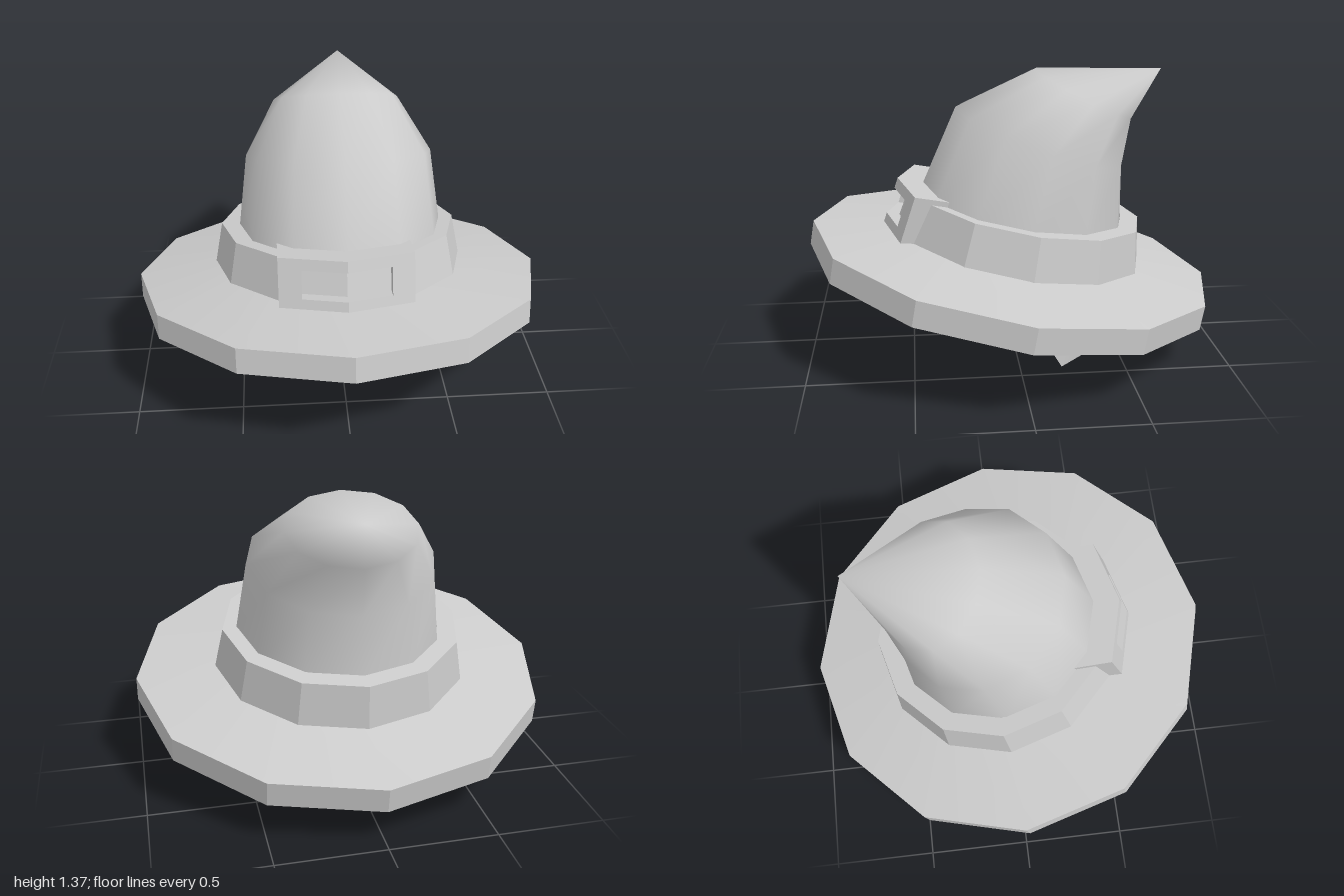
import * as THREE from 'three';
import { toCreasedNormals } from 'three/addons/utils/BufferGeometryUtils.js';

const SIDES = 12;
const grey = new THREE.MeshStandardMaterial({ color: 0xcccccc, side: THREE.DoubleSide });
grey.name = 'grey';

function part(name, geometry, parent) {
  const mesh = new THREE.Mesh(geometry, grey);
  mesh.name = name;
  parent.add(mesh);
  return mesh;
}

function lathe(profile) {
  const points = profile.map(([r, y]) => new THREE.Vector2(r, y));
  return toCreasedNormals(new THREE.LatheGeometry(points, SIDES), 0.4);
}

function indexed(positions, index) {
  const g = new THREE.BufferGeometry();
  g.setAttribute('position', new THREE.Float32BufferAttribute(positions, 3));
  g.setIndex(index);
  g.computeVertexNormals();
  return g;
}

// Crown: tilted oval rings, each given by its front and back point, closed in a bent tip
function crownGeometry() {
  const rings = [
    { front: [0.46, 0.76], back: [-0.55, 0.58], half: 0.505 },
    { front: [0.27, 1.19], back: [-0.55, 0.90], half: 0.455 },
    { front: [-0.11, 1.365], back: [-0.585, 1.13], half: 0.31 },
  ];
  const pos = [], index = [];
  rings.forEach(({ front, back, half }, k) => {
    for (let i = 0; i < SIDES; i++) {
      const a = (i / SIDES) * Math.PI * 2;
      const t = (1 - Math.cos(a)) / 2;
      pos.push(0.01 + half * Math.sin(a),
        THREE.MathUtils.lerp(front[1], back[1], t),
        THREE.MathUtils.lerp(front[0], back[0], t));
      const j = (i + 1) % SIDES, low = k * SIDES, up = low + SIDES;
      if (k < rings.length - 1) index.push(low + i, low + j, up + j, low + i, up + j, up + i);
      else index.push(low + i, low + j, up);
    }
  });
  pos.push(0.045, 1.365, -0.72);
  return indexed(pos, index);
}

// Thin hanging panel: columns of [angle from front, bottom y, bottom radius]
function panelGeometry(columns) {
  const pos = [], index = [];
  columns.forEach(([deg, bottom, radius], i) => {
    const a = THREE.MathUtils.degToRad(deg);
    const z = 0.48 * Math.cos(a);
    pos.push(radius * Math.sin(a), bottom, radius * Math.cos(a));
    pos.push(0.48 * Math.sin(a), 0.385 + 0.176 * z, z);
    if (i) {
      const b = i * 2;
      index.push(b - 2, b, b + 1, b - 2, b + 1, b - 1);
    }
  });
  return indexed(pos, index);
}

// Buckle bar: a box bent around the band and leaning back with it
function buckleBar(x0, x1, y0, y1) {
  const g = new THREE.BoxGeometry(x1 - x0, y1 - y0, 0.18, 2, 1, 1);
  g.translate((x0 + x1) / 2, (y0 + y1) / 2, 0.57);
  const p = g.attributes.position;
  for (let i = 0; i < p.count; i++) {
    const lean = 0.15 * (p.getY(i) - 0.165);
    p.setZ(i, p.getZ(i) - lean - 0.27 * Math.abs(p.getX(i)));
  }
  return toCreasedNormals(g, 0.4);
}

export function createModel() {
  const model = new THREE.Group();
  model.name = 'pointedHat';

  // Brim, band and buckle share one backward tilt
  const base = new THREE.Group();
  base.name = 'tiltedBase';
  base.position.set(0, 0.345, 0.01);
  base.rotation.x = -THREE.MathUtils.degToRad(10);
  model.add(base);

  part('brim', lathe([[0, 0], [1, 0], [1, 0.12], [0.57, 0.178]]), base);
  part('band', lathe([[0.62, 0.165], [0.58, 0.37], [0.49, 0.37]]), base).position.z = -0.02;

  const buckle = new THREE.Group();
  buckle.name = 'buckle';
  base.add(buckle);
  part('buckleTop', buckleBar(-0.31, 0.31, 0.343, 0.395), buckle);
  part('buckleBottom', buckleBar(-0.31, 0.31, 0.165, 0.212), buckle);
  part('buckleRight', buckleBar(-0.31, -0.205, 0.212, 0.343), buckle);
  part('buckleLeft', buckleBar(0.205, 0.31, 0.212, 0.343), buckle);

  part('crown', crownGeometry(), model);

  // Curved panel hanging behind the head
  const backColumns = [];
  for (const d of [-77, -65, -45, -22, 0, 22, 45, 65, 77]) {
    const end = Math.abs(d) === 77;
    backColumns.push([180 + d, end ? 0.16 : 0, end ? 0.48 : Math.abs(d) === 65 ? 0.472 : 0.445]);
  }
  part('backPanel', panelGeometry(backColumns), model);

  // Short flap at each temple
  for (const s of [-1, 1]) {
    const columns = [[58, 0.16, 0.475], [78, 0.16, 0.475], [82, 0.32, 0.48], [88, 0.345, 0.48]]
      .map(([a, y, r]) => [s * a, y, r]);
    if (s < 0) columns.reverse();
    part(s < 0 ? 'rightFlap' : 'leftFlap', panelGeometry(columns), model);
  }
  return model;
}
